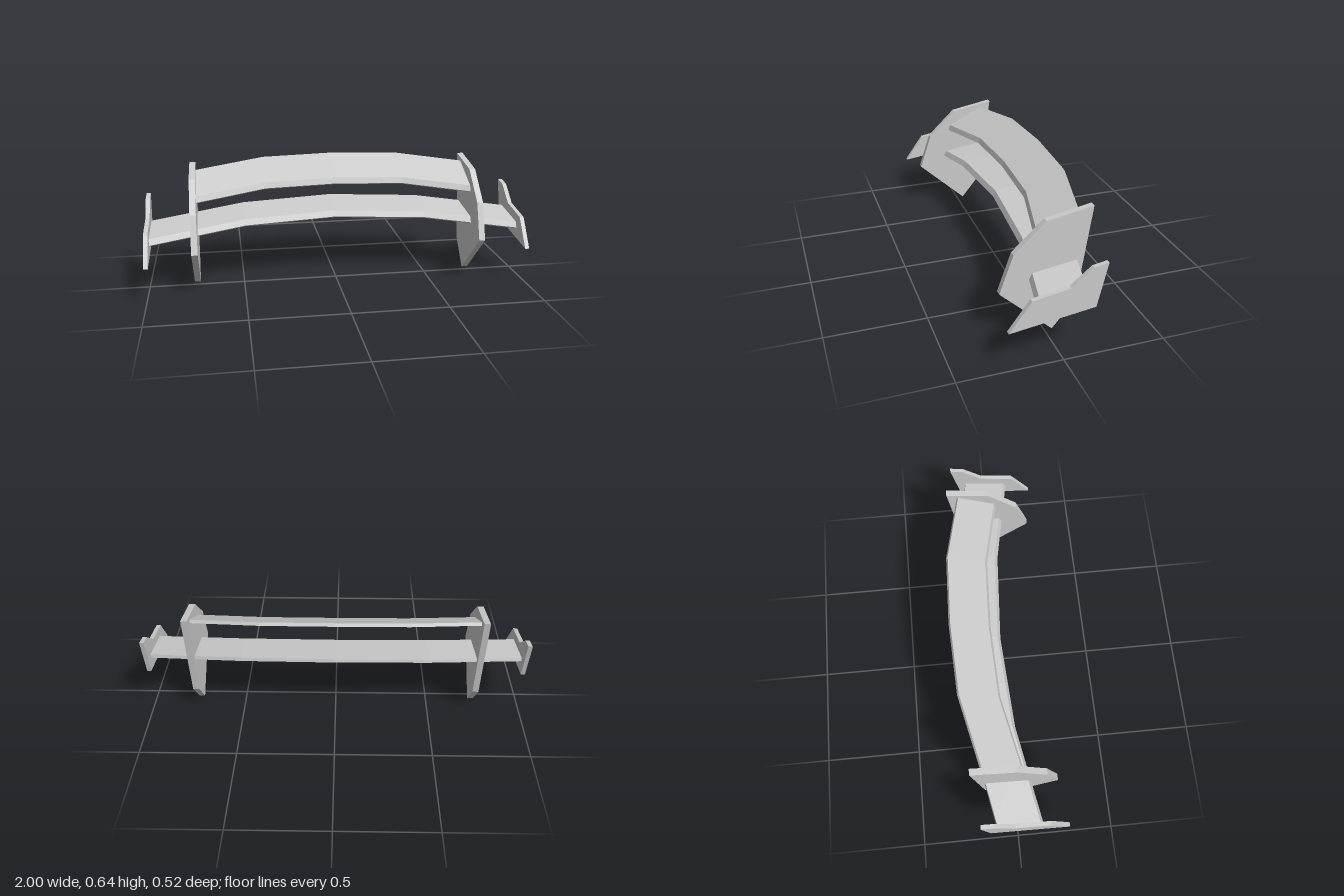
import * as THREE from 'three';

const material = new THREE.MeshStandardMaterial({ color: 0xcccccc, flatShading: true });

// Upright plate: outline of [z, y] points, extruded along x and centred at x
function plate(name, outline, x, thickness) {
  const shape = new THREE.Shape(outline.map(([z, y]) => new THREE.Vector2(-z, y)));
  const geometry = new THREE.ExtrudeGeometry(shape, { depth: thickness, bevelEnabled: false });
  geometry.translate(0, 0, -thickness / 2).rotateY(Math.PI / 2);
  const mesh = new THREE.Mesh(geometry, material);
  mesh.name = name;
  mesh.position.x = x;
  return mesh;
}

// Arched blade: a [z, y] section swept through stations [x, dz, dy], with closed ends
function blade(name, section, stations) {
  const positions = [];
  const index = [];
  const n = section.length;
  for (const [x, dz, dy] of stations) {
    for (const [z, y] of section) positions.push(x, y + dy, z + dz);
  }
  for (let k = 0; k < stations.length - 1; k++) {
    for (let i = 0; i < n; i++) {
      const j = (i + 1) % n;
      const a = k * n, b = a + n;
      index.push(a + i, a + j, b + j, a + i, b + j, b + i);
    }
  }
  const last = (stations.length - 1) * n;
  for (let i = 1; i < n - 1; i++) {
    index.push(0, i + 1, i, last, last + i, last + i + 1);
  }
  const indexed = new THREE.BufferGeometry();
  indexed.setAttribute('position', new THREE.Float32BufferAttribute(positions, 3));
  indexed.setIndex(index);
  const geometry = indexed.toNonIndexed();
  geometry.computeVertexNormals();
  const mesh = new THREE.Mesh(geometry, material);
  mesh.name = name;
  return mesh;
}

// Mirrors the stations of one half across the centre
function mirrored(half) {
  return [...half.slice(1).reverse().map(([x, dz, dy]) => [-x, dz, dy]), ...half];
}

export function createModel() {
  const group = new THREE.Group();
  group.name = 'rearWing';

  // Sections run: underside, rear bottom, rear top, front top, leading edge
  const lowerSection = [[-0.02, 0.335], [-0.236, 0.389], [-0.232, 0.407], [-0.015, 0.375], [0, 0.345]];
  group.add(blade('lowerBlade', lowerSection,
    mirrored([[0, 0, 0], [0.485, 0.03, -0.018], [0.985, 0.125, -0.073]])));

  const upperSection = [[-0.06, 0.509], [-0.261, 0.626], [-0.252, 0.641], [-0.06, 0.545], [-0.05, 0.515]];
  group.add(blade('upperBlade', upperSection,
    mirrored([[0, 0, 0], [0.37, 0.014, -0.008], [0.75, 0.097, -0.051]])));

  // Tall support plates and small winglets at the tips
  const supportOutline = [[-0.038, 0], [-0.153, 0.14], [-0.22, 0.622], [0.006, 0.581],
    [0.16, 0.435], [0.225, 0.244]];
  const tipOutline = [[0.262, 0.198], [-0.143, 0.252], [-0.19, 0.467], [-0.12, 0.455],
    [-0.02, 0.372], [0.158, 0.342]];
  for (const [side, sign] of [['left', 1], ['right', -1]]) {
    group.add(plate(side + 'SupportPlate', supportOutline, sign * 0.75, 0.032));
    group.add(plate(side + 'TipPlate', tipOutline, sign * 0.989, 0.022));
  }

  return group;
}
